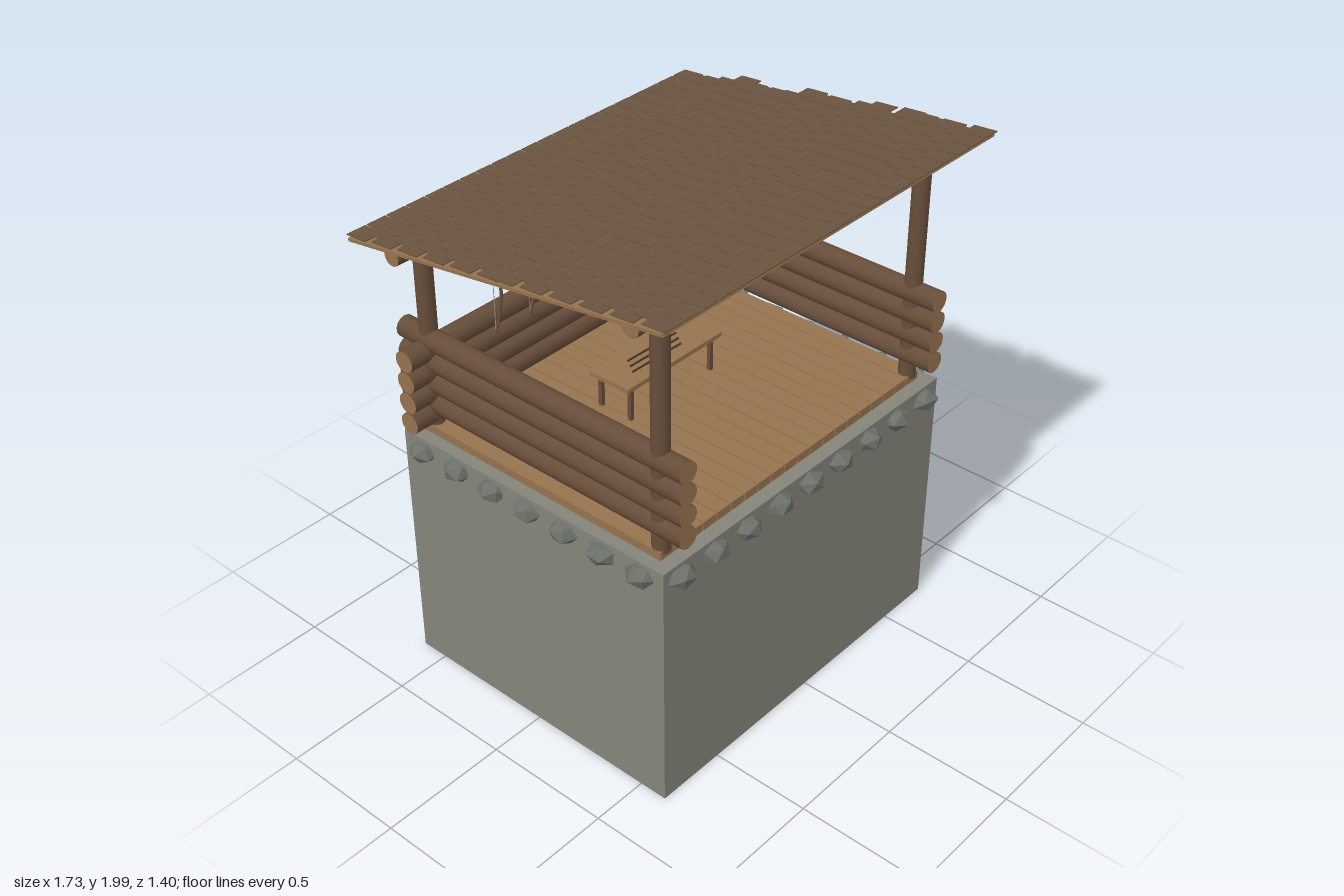
import * as THREE from 'three';
import { mergeGeometries } from 'three/addons/utils/BufferGeometryUtils.js';

const mat = (name, color) => {
  const m = new THREE.MeshStandardMaterial({ color });
  m.name = name;
  return m;
};

export function createModel() {
  const root = new THREE.Group();
  const stone = mat('wall stone', 0x84847a);
  const rubble = mat('rubble stone', 0x6c706a);
  rubble.flatShading = true;
  const bark = mat('log bark', 0x674d3a);
  const cut = mat('cut wood', 0x96734f);
  const shingleWood = mat('shingle wood', 0x6a5440);
  const dark = mat('dark wood', 0x4a3626);
  const cord = mat('bow cord', 0xa89c84);

  let seed = 7;
  const rand = () => (seed = (seed * 16807) % 2147483647) / 2147483647;
  const CX = -0.03;              // centre of the tower in x
  const SIDES = [CX - 0.67, CX + 0.67];

  const add = (name, geo, material, parent = root) => {
    const m = new THREE.Mesh(geo, material);
    m.name = name;
    parent.add(m);
    return m;
  };
  const box = (name, w, h, d, x, y, z, material, parent) => {
    const m = add(name, new THREE.BoxGeometry(w, h, d), material, parent);
    m.position.set(x, y, z);
    return m;
  };
  // round pole between two points, with its own end colour
  const pole = (name, a, b, r, side, end = side, parent = root, seg = 14) => {
    const p = new THREE.Vector3(...a), q = new THREE.Vector3(...b);
    const d = q.clone().sub(p);
    const m = add(name, new THREE.CylinderGeometry(r, r, d.length(), seg), [side, end, end], parent);
    m.position.copy(p).add(q).multiplyScalar(0.5);
    m.quaternion.setFromUnitVectors(new THREE.Vector3(0, 1, 0), d.normalize());
    return m;
  };

  // tower block
  box('towerBlock', 1.5, 1, 1.22, CX, 0.5, 0, stone);

  // ring of rough stones below the rim
  const stones = new THREE.Group();
  stones.name = 'rimStones';
  root.add(stones);
  const rock = (x, z, alongX) => {
    const s = add('rimStone', new THREE.IcosahedronGeometry(1, 0), rubble, stones);
    s.geometry.rotateX(rand() * 3).rotateZ(rand() * 3);
    const w = 0.055 + rand() * 0.008;
    s.scale.set(alongX ? w : 0.056, 0.043, alongX ? 0.056 : w);
    s.position.set(x, 0.952, z);
  };
  for (const z of [-0.61, 0.61]) for (let i = -4; i <= 4; i++) rock(CX + i * 0.167, z, true);
  for (const x of [-0.78, 0.72]) for (let i = -3; i <= 3; i++) rock(x, i * 0.171, false);

  // floor boards
  const floor = new THREE.Group();
  floor.name = 'floor';
  root.add(floor);
  for (let i = 0; i < 20; i++)
    box('floorBoard', 0.066, 0.033, 1.11, CX + (i - 9.5) * 0.0705, 1.017, 0, cut, floor);

  // log walls on the back and both sides
  const walls = new THREE.Group();
  walls.name = 'logWalls';
  root.add(walls);
  for (let i = 0; i < 4; i++) {
    const y = 1.08 + i * 0.085;
    pole('backLog', [-0.82, y, -0.53], [0.76, y, -0.53], 0.041, bark, cut, walls);
    for (const x of SIDES)
      pole('sideLog', [x, y + 0.042, -0.65], [x, y + 0.042, 0.645], 0.041, bark, cut, walls);
  }

  // posts and roof beams
  for (const [z, y] of [[0.53, 1.92], [-0.53, 1.75]]) {
    for (const x of SIDES) pole('post', [x, 1.02, z], [x, y, z], 0.033, bark, cut);
    pole('roofBeam', [-0.83, y, z], [0.76, y, z], 0.034, bark, cut);
  }

  // sloping roof: a deck covered in overlapping shingles
  const roof = new THREE.Group();
  roof.name = 'roof';
  roof.position.set(0, 1.877, 0);
  roof.rotation.x = -0.151;
  root.add(roof);
  box('roofDeck', 1.68, 0.012, 1.405, CX, 0, 0, cut, roof);
  const rowEnds = [0.825, 0.81, 0.81, 0.825, 0.865, 0.83, 0.815, 0.815, 0.815, 0.865, 0.84,
    0.84, 0.82, 0.84, 0.86, 0.80, 0.855, 0.84, 0.825, 0.825, 0.80, 0.82];
  const shingles = [];
  rowEnds.forEach((end, row) => {
    const shifted = row < 11 ? row % 2 === 1 : row % 2 === 0;
    const start = shifted ? -0.832 : -0.87;
    const widths = Array.from({ length: 21 }, () => 0.9 + rand() * 0.2);
    const unit = (end - start) / widths.reduce((a, b) => a + b, 0);
    let x = start;
    for (const k of widths) {
      const w = k * unit;
      shingles.push(new THREE.BoxGeometry(w - 0.007, 0.004, 0.092)
        .rotateX(0.07)
        .translate(x + w / 2, 0.0125, (row - 10.5) * 0.0632));
      x += w;
    }
  });
  add('shingles', mergeGeometries(shingles), shingleWood, roof);

  // table with a few arrows on it
  const table = new THREE.Group();
  table.name = 'table';
  root.add(table);
  box('tableTop', 0.5, 0.018, 0.18, CX, 1.174, -0.09, cut, table);
  for (const x of [-0.245, 0.18]) for (const z of [-0.02, -0.16])
    box('tableLeg', 0.016, 0.135, 0.016, x, 1.098, z, bark, table);
  for (let i = 0; i < 3; i++)
    pole('arrow', [-0.19 + i * 0.02, 1.188, -0.06 - i * 0.03],
      [0.06 + i * 0.02, 1.188, -0.055 - i * 0.03], 0.004, dark, dark, table, 6);

  // bows hung along the back wall
  for (let i = 0; i < 4; i++) {
    const bow = new THREE.Group();
    bow.name = 'bow';
    bow.position.set(-0.43 + i * 0.17, 1.475, -0.488);
    root.add(bow);
    const pts = [[0, 0.195], [0.02, 0.125], [0.035, 0.055], [0.035, -0.055], [0.02, -0.125], [0, -0.195]];
    for (let j = 0; j < 5; j++)
      pole('bowLimb', [...pts[j], 0], [...pts[j + 1], 0], 0.006, bark, bark, bow, 8);
    pole('bowString', [0, 0.19, 0], [0, -0.19, 0], 0.0015, cord, cord, bow, 5);
  }

  // leaning spear shafts
  for (let i = 0; i < 5; i++) {
    const x = i * 0.0345;
    pole('spearShaft', [0.437 + x, 1.035, -0.402], [0.389 + x, 1.555, -0.36], 0.008, cut, cut, root, 8);
  }

  // pair of sticks standing near the right-hand wall
  pole('standingStick', [-0.583, 1.033, 0.065], [-0.592, 1.28, 0.03], 0.006, dark, dark, root, 8);
  pole('standingStick', [-0.562, 1.033, 0.045], [-0.552, 1.28, 0.08], 0.006, dark, dark, root, 8);

  return root;
}
